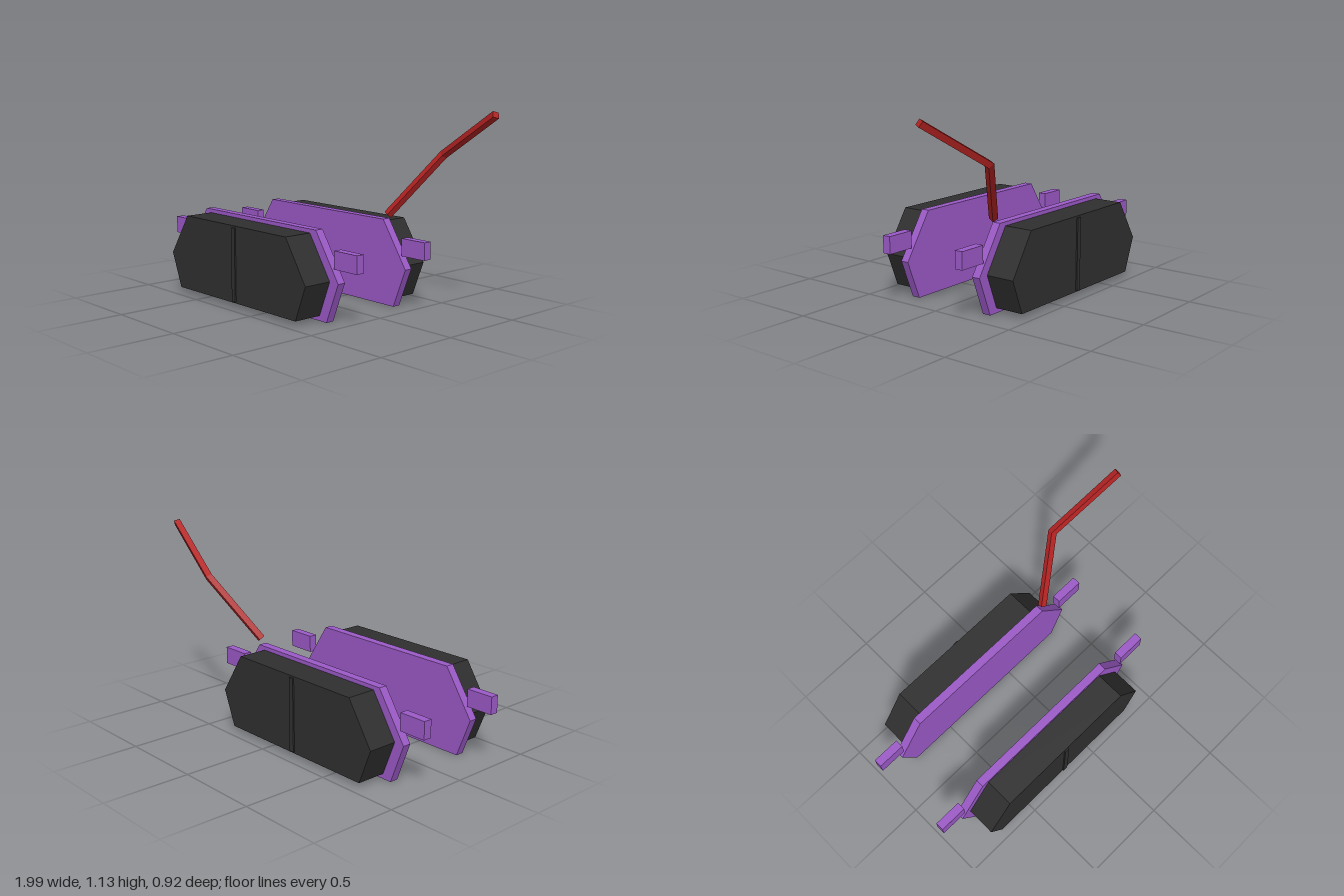
import * as THREE from 'three';

const purple = new THREE.MeshStandardMaterial({ name: 'purple', color: 0x9b59c6 });
const black = new THREE.MeshStandardMaterial({ name: 'black', color: 0x2f2f2f });
const red = new THREE.MeshStandardMaterial({ name: 'red', color: 0xb22222 });

// Outlines of the side plate and the pod mounted on it
const plateOutline = [[-0.775, 0], [0.375, 0], [0.465, 0.225], [0.29, 0.49], [-0.685, 0.49], [-0.862, 0.225]];
const podOutline = [[-0.72, 0.028], [0.32, 0.028], [0.4, 0.228], [0.243, 0.468], [-0.643, 0.468], [-0.8, 0.228]];

function mesh(name, geometry, material) {
  const m = new THREE.Mesh(geometry, material);
  m.name = name;
  return m;
}

// Extrudes an outline between two z planes
function slab(outline, z0, z1) {
  const shape = new THREE.Shape(outline.map(([x, y]) => new THREE.Vector2(x, y)));
  return new THREE.ExtrudeGeometry(shape, { depth: z1 - z0, bevelEnabled: false }).translate(0, 0, z0);
}

function box(x0, x1, y0, y1, z0, z1) {
  return new THREE.BoxGeometry(x1 - x0, y1 - y0, z1 - z0)
    .translate((x0 + x1) / 2, (y0 + y1) / 2, (z0 + z1) / 2);
}

// One side unit facing +z
function createSide(name) {
  const side = new THREE.Group();
  side.name = name;
  side.add(
    mesh('sidePlate', slab(plateOutline, 0.23, 0.279), purple),
    mesh('pod', slab(podOutline, 0.279, 0.45), black),
    mesh('podRib', box(-0.215, -0.185, 0.036, 0.458, 0.45, 0.458), black),
    mesh('rearTab', box(-1, -0.835, 0.3, 0.4, 0.23, 0.279), purple),
    mesh('frontTab', box(0.433, 0.605, 0.3, 0.4, 0.23, 0.279), purple),
  );
  return side;
}

// Square rod with one mitred bend
function bentRod(a, b, c, up, size) {
  const d1 = b.clone().sub(a).normalize();
  const d2 = c.clone().sub(b).normalize();
  const u = up.clone().addScaledVector(d2, -up.dot(d2)).normalize();
  const w = d2.clone().cross(u);
  const end = [[-1, -1], [1, -1], [1, 1], [-1, 1]].map(([i, j]) =>
    c.clone().addScaledVector(u, i * size / 2).addScaledVector(w, j * size / 2));
  // Slides each corner along a direction onto a plane
  const slide = (ring, dir, point, normal) => ring.map((p) =>
    p.clone().addScaledVector(dir, point.clone().sub(p).dot(normal) / dir.dot(normal)));
  const bend = slide(end, d2, b, d1.clone().add(d2).normalize());
  const start = slide(bend, d1, a, d1);

  const positions = [];
  const quad = (p, q, r, s) => [p, q, r, p, r, s].forEach((v) => positions.push(v.x, v.y, v.z));
  for (const [r0, r1] of [[start, bend], [bend, end]]) {
    for (let i = 0; i < 4; i++) {
      const j = (i + 1) % 4;
      quad(r0[i], r0[j], r1[j], r1[i]);
    }
  }
  quad(...end);
  quad(start[3], start[2], start[1], start[0]);
  const geometry = new THREE.BufferGeometry();
  geometry.setAttribute('position', new THREE.Float32BufferAttribute(positions, 3));
  geometry.computeVertexNormals();
  return geometry;
}

export function createModel() {
  const model = new THREE.Group();
  model.name = 'model';

  // Mirrored pair of side units
  const back = createSide('backSide');
  back.scale.z = -1;
  model.add(createSide('frontSide'), back);

  // Bent lever above the back unit
  const lever = bentRod(
    new THREE.Vector3(0.308, 0.516, -0.249),
    new THREE.Vector3(0.56, 0.862, -0.422),
    new THREE.Vector3(0.982, 1.108, -0.339),
    new THREE.Vector3(-0.4, 0.82, -0.41),
    0.035,
  );
  model.add(mesh('lever', lever, red));
  return model;
}
